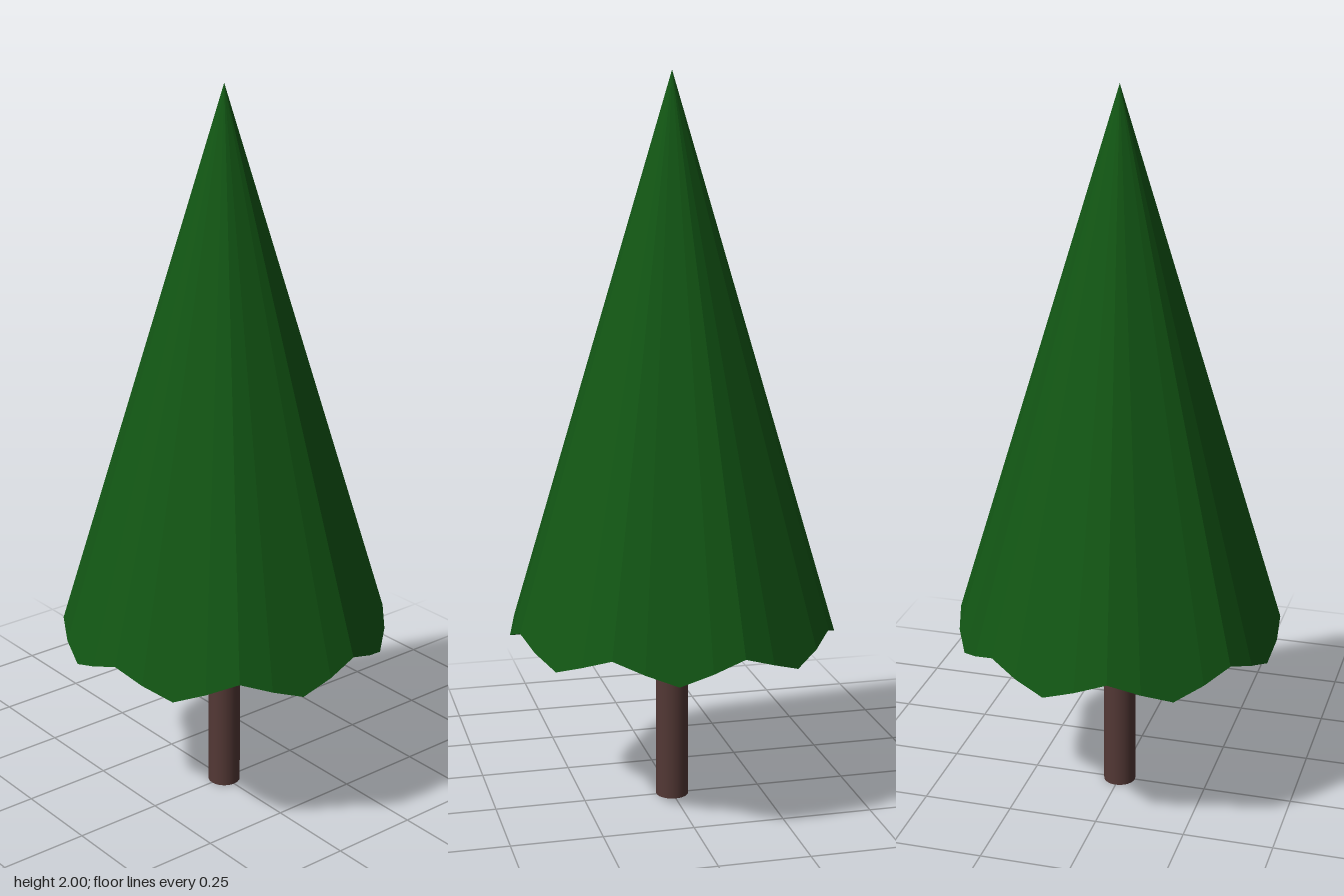
import * as THREE from 'three';

export function createModel() {
  const group = new THREE.Group();

  // Trunk: slim smooth cylinder up to the underside of the foliage
  const trunk = new THREE.Mesh(
    new THREE.CylinderGeometry(0.045, 0.045, 0.5, 32),
    new THREE.MeshStandardMaterial({ color: 0x533835 })
  );
  trunk.name = 'trunk';
  trunk.position.y = 0.25;
  group.add(trunk);

  // Foliage: faceted cone whose rim rises and falls in eight waves
  const cone = new THREE.ConeGeometry(0.447, 1.5, 32);
  const pos = cone.attributes.position;
  for (let i = 0; i < pos.count; i++) {
    const x = pos.getX(i), z = pos.getZ(i);
    if (Math.hypot(x, z) > 0.1) {
      pos.setY(i, -0.75 + 0.03 * Math.sin(8 * Math.atan2(x, z)));
    }
  }
  cone.computeVertexNormals();
  const foliage = new THREE.Mesh(
    cone,
    new THREE.MeshStandardMaterial({ color: 0x125614, flatShading: true })
  );
  foliage.name = 'foliage';
  foliage.position.y = 1.25;
  group.add(foliage);

  return group;
}
